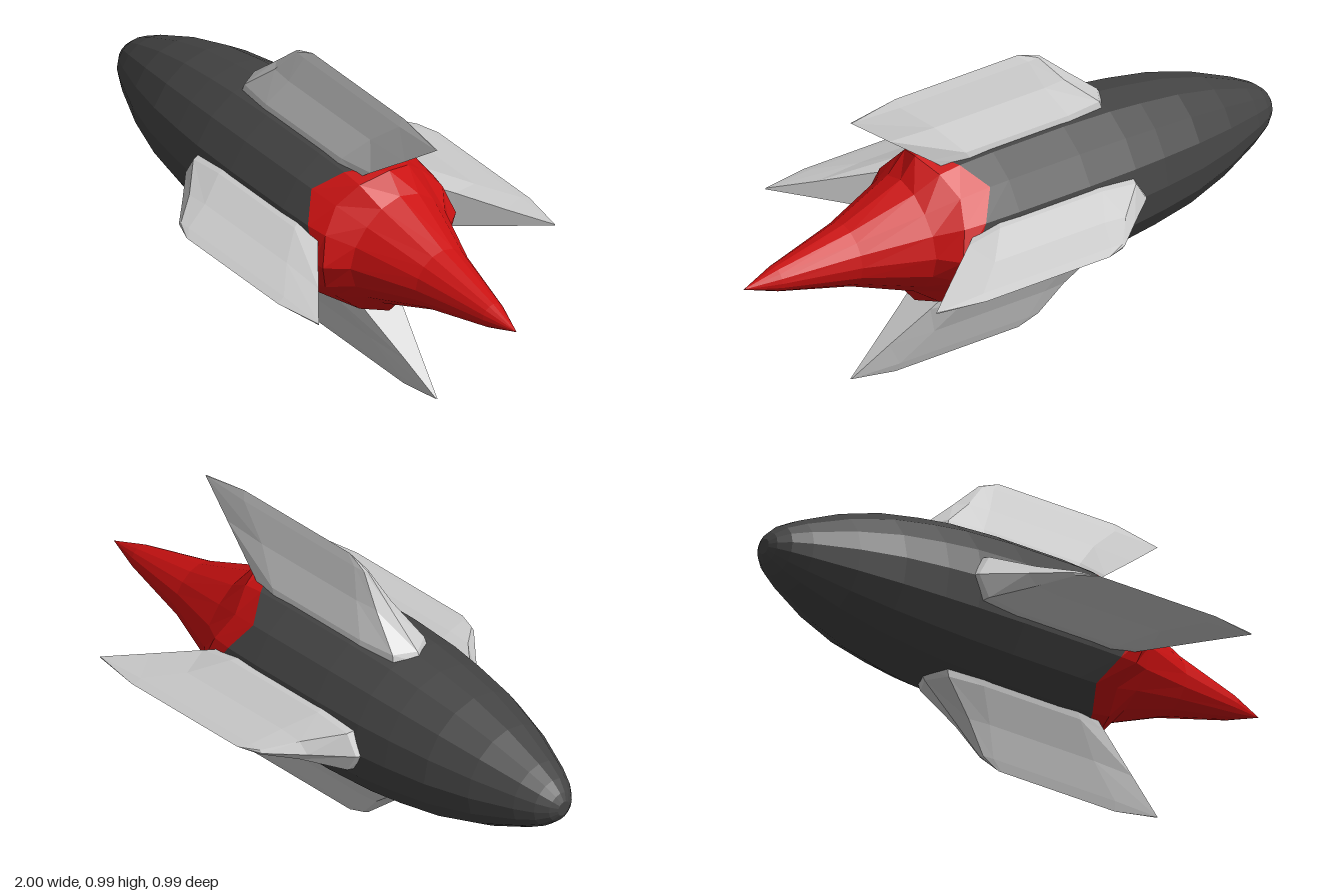
import * as THREE from 'three';

const SIDES = 16;
const material = (color) =>
  new THREE.MeshStandardMaterial({ color, flatShading: true, side: THREE.DoubleSide });

// Skin a list of closed rings (arrays of [x, y, z]) with quads
function loft(rings) {
  const n = rings[0].length, index = [];
  for (let i = 0; i < rings.length - 1; i++) {
    for (let j = 0; j < n; j++) {
      const a = i * n + j, b = i * n + (j + 1) % n;
      index.push(a, b, a + n, b, b + n, a + n);
    }
  }
  const geometry = new THREE.BufferGeometry();
  geometry.setAttribute('position', new THREE.Float32BufferAttribute(rings.flat(2), 3));
  geometry.setIndex(index);
  geometry.computeVertexNormals();
  return geometry;
}

// Ring around the x axis; at(w) gives [x, radius], w = 1 at the fins, 0 between them
function ringX(at) {
  return Array.from({ length: SIDES }, (_, j) => {
    const a = (j / SIDES) * Math.PI * 2;
    const [x, r] = at((1 + Math.cos(4 * a)) / 2);
    return [x, r * Math.cos(a), r * Math.sin(a)];
  });
}
const mix = (p, q) => (w) => [p[0] + (q[0] - p[0]) * w, p[1] + (q[1] - p[1]) * w];

// Wedge-shaped fin: cross-sections stacked outwards along +y
function finGeometry() {
  const sections = [
    // y, then [x, half thickness] from leading to trailing edge
    [0.235, [[-0.37, 0], [-0.32, 0.075], [-0.18, 0.092], [0.19, 0.092], [0.285, 0.072]]],
    [0.27, [[-0.35, 0], [-0.31, 0.07], [-0.18, 0.085], [0.21, 0.085], [0.33, 0.062]]],
    [0.37, [[-0.235, 0], [-0.2, 0.034], [-0.12, 0.041], [0.3, 0.041], [0.465, 0.03]]],
    [0.465, [[-0.13, 0], [-0.12, 0.008], [-0.08, 0.011], [0.41, 0.011], [0.59, 0.002]]],
    [0.495, [[-0.05, 0], [-0.05, 0], [-0.04, 0], [0.41, 0], [0.42, 0]]],
  ];
  return loft(sections.map(([y, pts]) => [
    ...pts.map(([x, z]) => [x, y, z]),
    [pts[4][0], y, 0],
    ...pts.slice(1).reverse().map(([x, z]) => [x, y, -z]),
  ]));
}

export function createModel() {
  const model = new THREE.Group();
  const ship = new THREE.Group();
  ship.name = 'rocket';
  ship.position.y = 0.495;
  model.add(ship);

  const add = (name, geometry, mat) => {
    const mesh = new THREE.Mesh(geometry, mat);
    mesh.name = name;
    ship.add(mesh);
    return mesh;
  };

  // Hull with a blunt nose and a scalloped rear edge
  const seam = [[0.19, 0.266], [0.3, 0.262]];
  const profile = [
    [-1, 0], [-1, 0.025], [-0.985, 0.05], [-0.95, 0.082], [-0.89, 0.115], [-0.75, 0.175],
    [-0.6, 0.22], [-0.45, 0.246], [-0.33, 0.261], [-0.15, 0.27], [0.12, 0.27],
  ];
  add('hull', loft([...profile.map((p) => ringX(() => p)), ringX(mix(...seam))]), material(0x444444));

  // Flame: bulges behind each fin, then narrows to a point
  const flame = [
    seam,
    [[0.29, 0.238], [0.345, 0.262]],
    [[0.4, 0.185], [0.4, 0.195]],
    [[0.62, 0.105], [0.62, 0.107]],
    [[0.88, 0.042], [0.88, 0.042]],
    [[1, 0], [1, 0]],
  ];
  add('flame', loft(flame.map(([p, q]) => ringX(mix(p, q)))), material(0xcc1111));

  // Four fins around the hull
  const fin = finGeometry(), finMaterial = material(0xcccccc);
  ['topFin', 'frontFin', 'bottomFin', 'backFin'].forEach((name, i) => {
    add(name, fin, finMaterial).rotation.x = (i * Math.PI) / 2;
  });

  return model;
}
